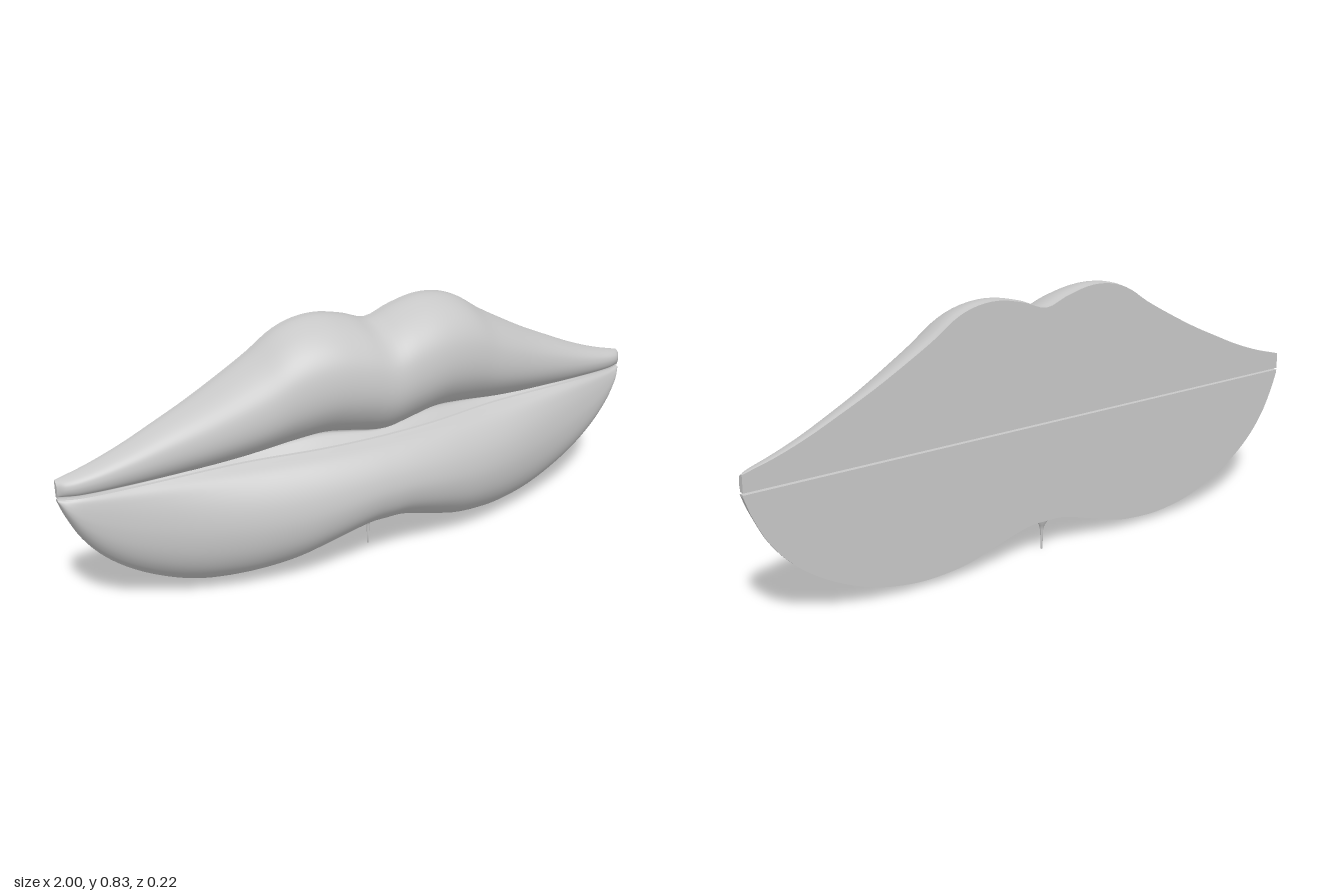
import * as THREE from 'three';
import { mergeGeometries } from 'three/addons/utils/BufferGeometryUtils.js';

const BACK = -0.108;

// Smooth curve through [x, value] nodes, mirrored about x = 0
function smooth(nodes) {
  const n = nodes.length;
  const slope = nodes.map((p, i) => {
    if (i === 0) return 0;
    const a = nodes[i - 1], b = nodes[Math.min(i + 1, n - 1)];
    return (b[1] - a[1]) / (b[0] - a[0]);
  });
  return (x) => {
    const ax = Math.min(Math.abs(x), 1);
    let i = 0;
    while (i < n - 2 && ax > nodes[i + 1][0]) i++;
    const [x0, y0] = nodes[i], [x1, y1] = nodes[i + 1];
    const h = x1 - x0, t = (ax - x0) / h, t2 = t * t, t3 = t2 * t;
    return y0 * (2 * t3 - 3 * t2 + 1) + y1 * (3 * t2 - 2 * t3)
      + h * slope[i] * (t3 - 2 * t2 + t) + h * slope[i + 1] * (t3 - t2);
  };
}

// Outlines seen from the front
const topEdge = smooth([[0, 0.78], [0.08, 0.806], [0.17, 0.825], [0.25, 0.82], [0.32, 0.795],
  [0.4, 0.742], [0.5, 0.685], [0.6, 0.632], [0.7, 0.585], [0.8, 0.54], [0.9, 0.503], [1, 0.475]]);
const bottomEdge = smooth([[0, 0.1], [0.05, 0.1], [0.1, 0.09], [0.2, 0.06], [0.3, 0.032], [0.42, 0.021],
  [0.5, 0.025], [0.6, 0.043], [0.7, 0.08], [0.8, 0.135], [0.88, 0.2], [0.94, 0.275], [0.98, 0.355], [1, 0.41]]);
const creaseEdge = smooth([[0, 0.44], [0.1, 0.453], [0.2, 0.464], [0.3, 0.455], [0.45, 0.437], [0.6, 0.43], [1, 0.428]]);
// Depths: fullest point, parting line, and undercut behind the upper lip
const peakZ = smooth([[0, 0.108], [0.2, 0.1], [0.4, 0.068], [0.67, 0], [0.8, -0.028], [0.94, -0.056], [0.98, -0.07], [1, -0.088]]);
const seamZ = smooth([[0, 0], [0.2, -0.01], [0.45, -0.045], [0.8, -0.058], [0.94, -0.07], [1, -0.092]]);
const undercut = smooth([[0, 0.015], [0.2, 0.028], [0.45, 0.015], [0.7, 0.004], [1, 0]]);

// Profile tables: [fraction of height, fraction of depth]
const UPPER_IN = [[0.05, 0.3], [0.17, 0.68], [0.33, 0.93], [0.5, 1]];
const UPPER_OUT = [[0.69, 0.94], [0.82, 0.8], [0.92, 0.58], [0.98, 0.33], [1, 0.15], [0.995, 0]];
const LOWER_IN = [[0.06, 0.4], [0.16, 0.7], [0.3, 0.92], [0.47, 1]];
const LOWER_OUT = [[0.65, 0.93], [0.79, 0.76], [0.9, 0.5], [0.97, 0.23], [1, 0.1], [1, 0]];

// One front cross-section at x, running from its lowest to its highest end
function section(x, upper, seamY) {
  const P = peakZ(x), Q = seamZ(x);
  const edge = upper ? topEdge(x) : bottomEdge(x);
  const startY = upper ? creaseEdge(x) : seamY;
  const startZ = upper ? Q - undercut(x) : Q;
  const pts = [new THREE.Vector3(x, seamY, Q)];
  if (upper) pts.push(new THREE.Vector3(x, startY, startZ));
  const add = (t, z) => pts.push(new THREE.Vector3(x, startY + (edge - startY) * t, z));
  for (const [t, g] of upper ? UPPER_IN : LOWER_IN) add(t, startZ + (P - startZ) * g);
  for (const [t, g] of upper ? UPPER_OUT : LOWER_OUT) add(t, BACK + (P - BACK) * g);
  const line = new THREE.CatmullRomCurve3(pts).getPoints(56);
  return upper ? line : line.reverse();
}

// Surface through rows of points
function loft(rows) {
  const m = rows[0].length, index = [];
  for (let i = 0; i < rows.length - 1; i++) {
    for (let j = 0; j < m - 1; j++) {
      const a = i * m + j, b = a + m;
      index.push(a, b, b + 1, a, b + 1, a + 1);
    }
  }
  const g = new THREE.BufferGeometry().setFromPoints(rows.flat());
  g.setIndex(index);
  g.computeVertexNormals();
  return g;
}

// Solid lip: rounded front, flat back, flat parting face and two end caps
function lip(name, upper, seamY, material) {
  const N = 140, rows = [];
  for (let i = 0; i <= N; i++) {
    rows.push(section(Math.sin((i / N - 0.5) * Math.PI), upper, seamY));
  }
  const corner = (r) => new THREE.Vector3(r[0].x, seamY, BACK);
  const fan = (r) => r.map(() => corner(r));
  const first = rows[0], last = rows[N];
  const mesh = new THREE.Mesh(mergeGeometries([
    loft(rows),
    loft(rows.map((r) => [r[r.length - 1], corner(r)])),
    loft(rows.map((r) => [corner(r), r[0]])),
    loft([last, fan(last)]),
    loft([fan(first), first]),
  ]), material);
  mesh.name = name;
  return mesh;
}

export function createModel() {
  const model = new THREE.Group();
  model.name = 'lips';
  const grey = new THREE.MeshStandardMaterial({ color: 0xc8c8c8 });
  grey.name = 'light grey';

  model.add(lip('upperLip', true, 0.423, grey));
  model.add(lip('lowerLip', false, 0.417, grey));

  // Thin drip flaring into the notch of the lower lip
  const profile = [[0, 0], [0.003, 0.002], [0.004, 0.04], [0.005, 0.065], [0.009, 0.082], [0.019, 0.097], [0.019, 0.11]]
    .map(([r, y]) => new THREE.Vector2(r, y));
  const drip = new THREE.Mesh(new THREE.LatheGeometry(profile, 16), grey);
  drip.name = 'drip';
  drip.position.z = -0.088;
  model.add(drip);
  return model;
}
